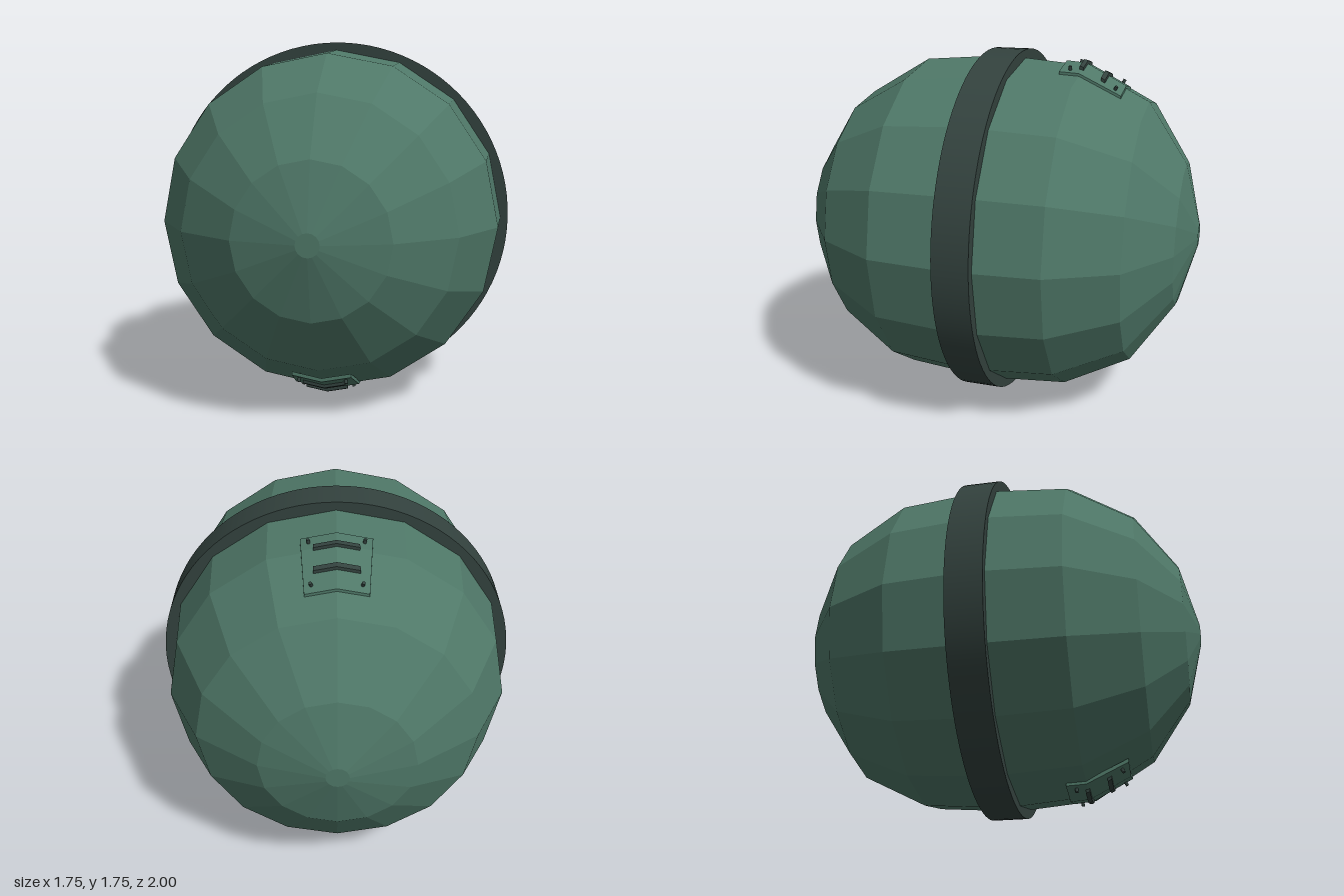
import * as THREE from 'three';

const CENTER_Y = 0.873;
const SIDES = 16;
// Body profile from back tip to front tip: [radius, z]
const PROFILE = [
  [0, -1], [0.053, -1], [0.355, -0.92], [0.647, -0.725], [0.808, -0.41], [0.841, 0],
  [0.808, 0.41], [0.627, 0.72], [0.352, 0.92], [0.053, 1], [0, 1],
];

const green = new THREE.MeshStandardMaterial({ color: 0x4f7868 });
green.name = 'shell green';
const dark = new THREE.MeshStandardMaterial({ color: 0x33423e });
dark.name = 'dark metal';

function faceted(geometry) {
  const g = geometry.toNonIndexed();
  g.computeVertexNormals();
  return g;
}

function addMesh(parent, name, geometry, material) {
  const mesh = new THREE.Mesh(geometry, material);
  mesh.name = name;
  parent.add(mesh);
  return mesh;
}

// Height of the shell over its axis near the top ridge
function shellHeight(x, z) {
  let i = 1;
  while (i < PROFILE.length - 3 && PROFILE[i + 1][1] < z) i++;
  const [r0, z0] = PROFILE[i];
  const [r1, z1] = PROFILE[i + 1];
  const r = r0 + (r1 - r0) * (z - z0) / (z1 - z0);
  return r - Math.abs(x) * Math.tan(Math.PI / SIDES);
}

// Slab that follows the shell; zs and halfWidths hold three stations
function shellSlab(zs, halfWidths, low, high) {
  const g = new THREE.BoxGeometry(2, 2, 2, 2, 1, 2);
  const p = g.attributes.position;
  for (let i = 0; i < p.count; i++) {
    const k = Math.round(p.getZ(i)) + 1;
    const x = p.getX(i) * halfWidths[k];
    const z = zs[k];
    p.setXYZ(i, x, shellHeight(x, z) + (p.getY(i) > 0 ? high : low), z);
  }
  return faceted(g);
}

function createHatch(name) {
  const hatch = new THREE.Group();
  hatch.name = name;
  addMesh(hatch, 'hatchPlate',
    shellSlab([-0.61, -0.41, -0.315], [0.14, 0.156, 0.163], -0.005, 0.013), green);

  // Two raised bars
  for (const z of [-0.515, -0.41]) {
    addMesh(hatch, 'hatchBar',
      shellSlab([z - 0.01, z, z + 0.01], [0.102, 0.102, 0.102], 0, 0.028), dark);
  }

  // Corner bolts
  for (const [x, z] of [[0.11, -0.575], [0.123, -0.36]]) {
    for (const side of [-1, 1]) {
      const bolt = addMesh(hatch, 'hatchBolt',
        new THREE.CylinderGeometry(0.008, 0.008, 0.04, 10), dark);
      bolt.position.set(side * x, shellHeight(x, z) + 0.012, z);
      bolt.rotation.set(z < -0.41 ? -0.48 : -0.08, 0, -side * Math.PI / SIDES);
    }
  }
  return hatch;
}

export function createModel() {
  const model = new THREE.Group();
  model.name = 'bandedPod';

  // Everything is built around the long axis, then lifted to stand on y = 0
  const pod = new THREE.Group();
  pod.name = 'pod';
  pod.position.y = CENTER_Y;
  model.add(pod);

  // Faceted shell
  const shell = new THREE.LatheGeometry(PROFILE.map(([r, z]) => new THREE.Vector2(r, z)), SIDES);
  shell.rotateX(Math.PI / 2);
  addMesh(pod, 'shell', faceted(shell), green);

  // Smooth round band about the middle
  const band = new THREE.CylinderGeometry(CENTER_Y, CENTER_Y, 0.175, 96);
  band.rotateX(Math.PI / 2);
  addMesh(pod, 'band', band, dark).position.z = -0.018;

  // Hatch on top at the back, and its twin underneath at the front
  pod.add(createHatch('topHatch'));
  const lower = createHatch('bottomHatch');
  lower.rotation.x = Math.PI;
  pod.add(lower);

  return model;
}
